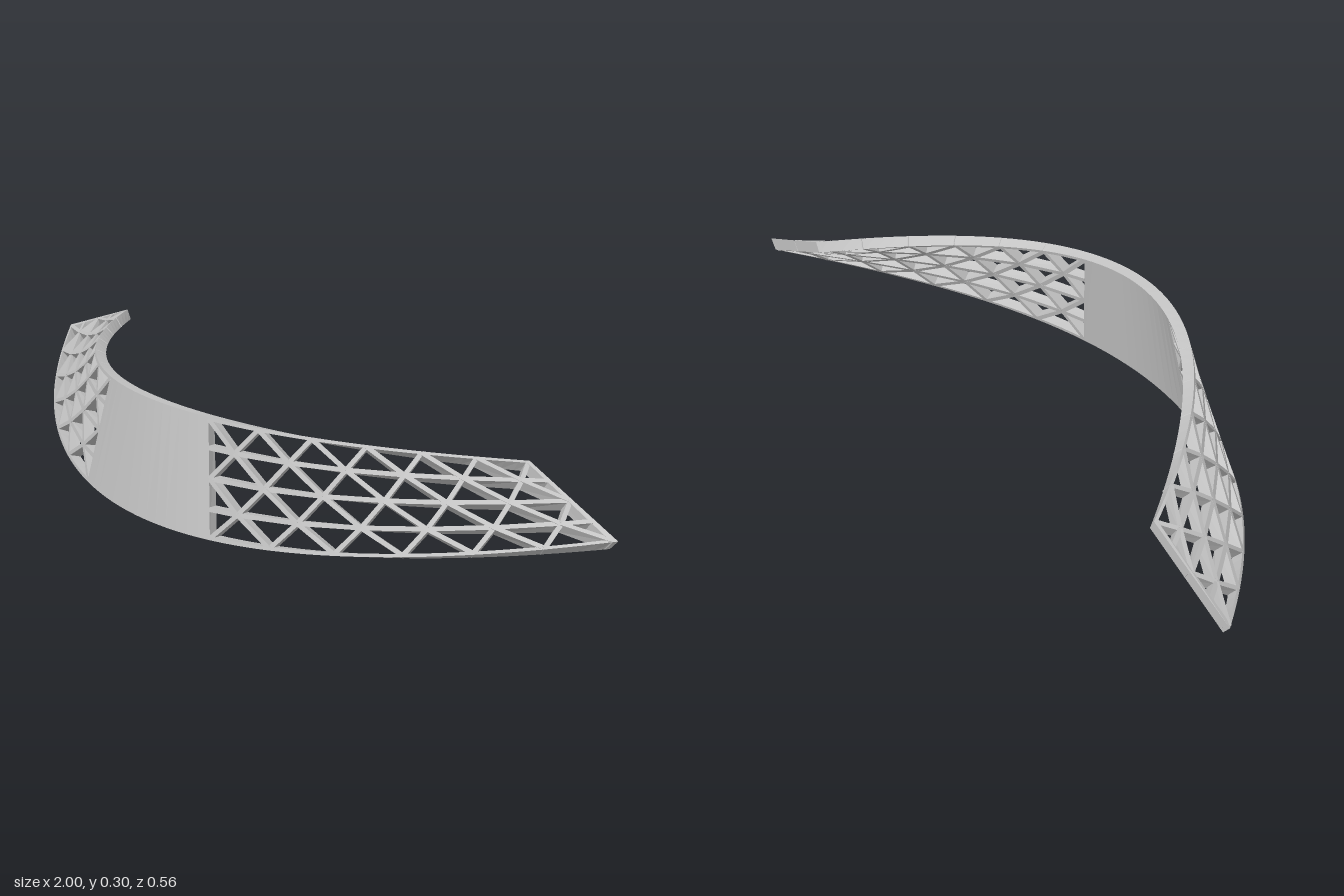
import * as THREE from 'three';
import { mergeGeometries } from 'three/addons/utils/BufferGeometryUtils.js';

const V = (x, y, z) => new THREE.Vector3(x, y, z);
const THICK = 0.028, WIDTH = 0.011, PANEL = 0.2, END_Z = -0.278;
const CELLS = 6, ROWS = 4, RIM = 0.03;

// lower and upper edges of the curved band
const lower = new THREE.QuadraticBezierCurve3(V(-1, 0.115, END_Z), V(0, -0.105, 0.834), V(1, 0.115, END_Z));
const upper = new THREE.QuadraticBezierCurve3(V(-0.735, 0.225, END_Z), V(0, 0.369, 0.758), V(0.735, 0.225, END_Z));

// outer face of the band: s runs -1..1 along it, v runs 0..1 up it
function outer(s, v) {
  const t = THREE.MathUtils.clamp((s + 1) / 2, 0, 1);
  return lower.getPointAt(t).lerp(upper.getPointAt(t), v);
}

// offset from the outer face to the inner face, sheared so both ends finish flat
function inward(s, v) {
  const tangent = outer(Math.min(s + 0.01, 1), v).sub(outer(Math.max(s - 0.01, -1), v)).normalize();
  const rise = outer(s, 1).sub(outer(s, 0));
  const d = tangent.clone().cross(rise).normalize().multiplyScalar(-THICK);
  if (Math.abs(s) > 0.5) d.addScaledVector(tangent, -(d.z / tangent.z) * Math.abs(s) ** 8);
  return d;
}

// reshape a box by a rule on its unit coordinates, with flat facets
function shaped(nx, ny, rule) {
  const g = new THREE.BoxGeometry(1, 1, 1, nx, ny, 1).toNonIndexed();
  const p = g.attributes.position;
  for (let i = 0; i < p.count; i++) {
    const q = rule(p.getX(i) + 0.5, p.getY(i) + 0.5, 0.5 - p.getZ(i));
    p.setXYZ(i, q.x, q.y, q.z);
  }
  g.computeVertexNormals();
  return g;
}

// curved slab covering part of the band
function slab(s0, s1, v0, v1, n) {
  return shaped(n, 1, (a, b, c) => {
    const s = s0 + (s1 - s0) * a, v = v0 + (v1 - v0) * b;
    return outer(s, v).addScaledVector(inward(s, v), c);
  });
}

// straight bar between two nodes of the lattice
function strut([s0, v0], [s1, v1]) {
  const p0 = outer(s0, v0), p1 = outer(s1, v1);
  const d0 = inward(s0, v0), d1 = inward(s1, v1);
  const side = d0.clone().add(d1).negate().cross(p1.clone().sub(p0)).normalize();
  return shaped(1, 1, (a, b, c) => p0.clone().lerp(p1, a)
    .addScaledVector(side, (b - 0.5) * WIDTH)
    .addScaledVector(d0.clone().lerp(d1, a), c));
}

export function createModel() {
  const group = new THREE.Group();
  const grey = new THREE.MeshStandardMaterial({ color: 0xc4c4c4, flatShading: true });
  grey.name = 'light grey';
  const add = (name, geometry) => {
    const mesh = new THREE.Mesh(geometry, grey);
    mesh.name = name;
    group.add(mesh);
  };

  add('centrePanel', slab(-PANEL, PANEL, 0, 1, 14));

  for (const sign of [1, -1]) {
    const name = sign > 0 ? 'left' : 'right';
    const span = (a, b, v0, v1, n) => sign > 0 ? slab(a, b, v0, v1, n) : slab(-b, -a, v0, v1, n);

    // thin rims along the edges and the tip
    add(name + 'LowerRim', span(PANEL, 1, 0, RIM, 24));
    add(name + 'UpperRim', span(PANEL, 1, 1 - RIM, 1, 24));
    add(name + 'EndRim', span(0.988, 1, 0, 1, 1));

    // triangular lattice: odd rows are shifted by half a cell
    const node = (i, j) => {
      const u = THREE.MathUtils.clamp(i / CELLS, 0, 0.993);
      return [sign * (PANEL + (1 - PANEL) * u), THREE.MathUtils.clamp(j / ROWS, 0.015, 0.985)];
    };
    const bars = [];
    for (let j = 0; j <= ROWS; j++) {
      const shift = (j % 2) / 2;
      // bars running along the band
      if (j > 0 && j < ROWS) {
        for (let i = -shift; i < CELLS; i++) {
          bars.push(strut(node(Math.max(i, 0), j), node(Math.min(i + 1, CELLS), j)));
        }
      }
      // diagonals up to the next row
      if (j < ROWS) {
        for (let i = shift; i <= CELLS; i++) {
          for (const step of [-0.5, 0.5]) {
            const k = i + step;
            if (k >= 0 && k <= CELLS) bars.push(strut(node(i, j), node(k, j + 1)));
          }
        }
      }
    }
    add(name + 'Lattice', mergeGeometries(bars));
  }
  return group;
}
